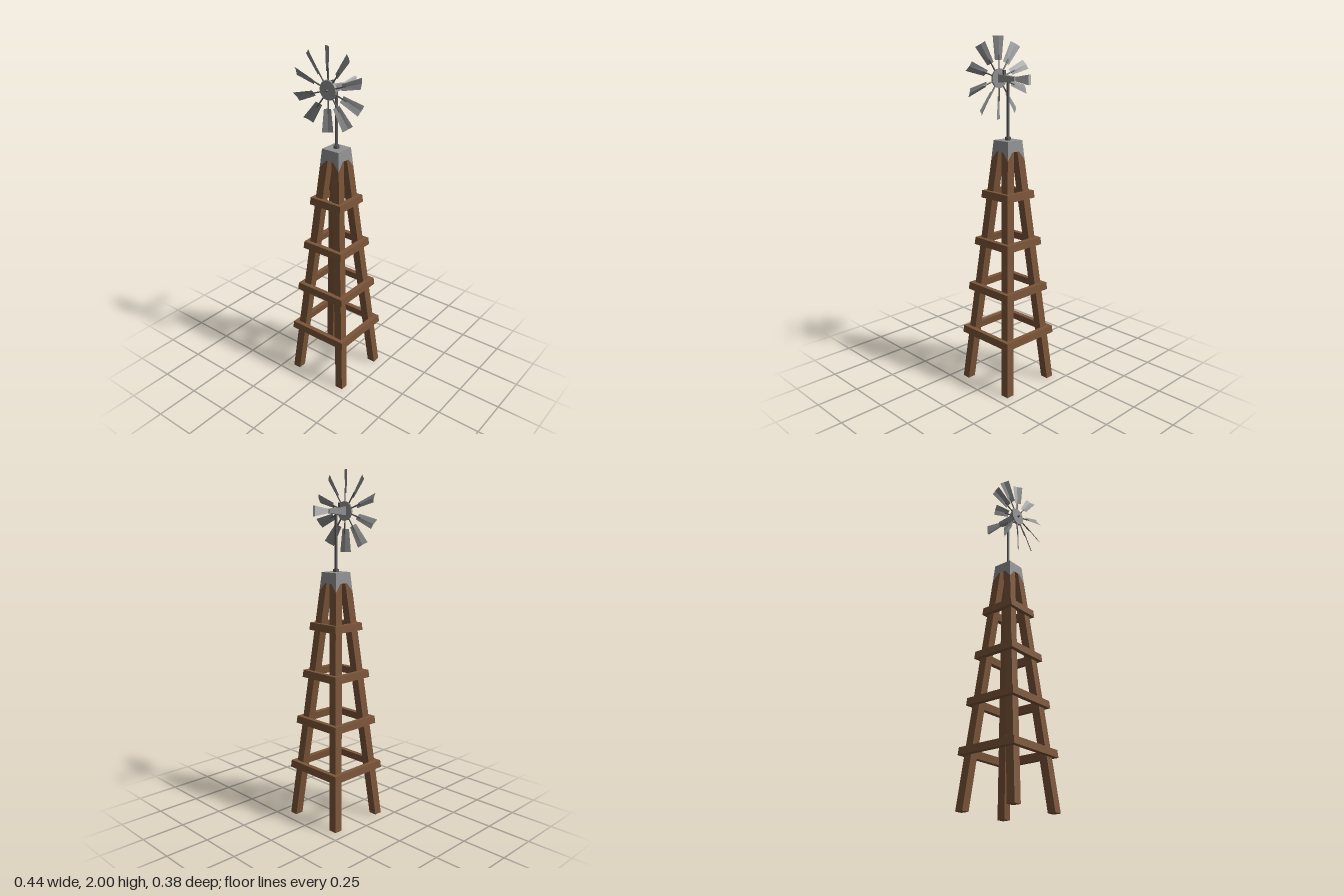
import * as THREE from 'three';

const flat = (name, color, double) => {
  const m = new THREE.MeshStandardMaterial({ color, flatShading: true });
  m.name = name;
  if (double) m.side = THREE.DoubleSide;
  return m;
};

export function createModel() {
  const wood = flat('brown wood', 0x7a5438);
  const steel = flat('grey steel', 0x919191, true);
  const pale = flat('pale steel', 0xbdbdbd);
  const dark = flat('dark steel', 0x5c5c5c);
  const model = new THREE.Group();
  model.name = 'windPump';

  const add = (parent, name, geo, mat, x = 0, y = 0, z = 0) => {
    const mesh = new THREE.Mesh(geo, mat);
    mesh.name = name;
    mesh.position.set(x, y, z);
    parent.add(mesh);
    return mesh;
  };
  // Move every vertex of a geometry by a rule
  const bend = (geo, rule) => {
    const p = geo.attributes.position, v = new THREE.Vector3();
    for (let i = 0; i < p.count; i++) {
      rule(v.fromBufferAttribute(p, i));
      p.setXYZ(i, v.x, v.y, v.z);
    }
    geo.computeVertexNormals();
    return geo;
  };
  const triangles = (points) => {
    const g = new THREE.BufferGeometry();
    g.setAttribute('position', new THREE.Float32BufferAttribute(points.flat(), 3));
    g.computeVertexNormals();
    return g;
  };
  const quad = (a, b, c, d) => [a, b, c, a, c, d];

  // Four legs leaning in towards the cap
  const slope = 0.094;
  for (const sx of [1, -1]) for (const sz of [1, -1]) {
    const leg = new THREE.BoxGeometry(0.048, 1.41, 0.048).translate(0, 0.705, 0);
    add(model, 'leg', bend(leg, v => {
      v.x += sx * (0.167 - slope * v.y);
      v.z += sz * (0.167 - slope * v.y);
    }), wood);
  }

  // Square frames of beams around the legs
  const square = (PathType, r) => {
    const p = new PathType();
    p.moveTo(-r, -r); p.lineTo(r, -r); p.lineTo(r, r); p.lineTo(-r, r); p.closePath();
    return p;
  };
  for (const [y, r] of [[0.31, 0.187], [0.584, 0.161], [0.86, 0.134], [1.136, 0.105]]) {
    const shape = square(THREE.Shape, r);
    shape.holes.push(square(THREE.Path, r - 0.028));
    const frame = new THREE.ExtrudeGeometry(shape, { depth: 0.042, bevelEnabled: false });
    frame.rotateX(-Math.PI / 2).translate(0, -0.021, 0);
    add(model, 'beamFrame', bend(frame, v => {
      v.x -= Math.sign(v.x) * slope * v.y;
      v.z -= Math.sign(v.z) * slope * v.y;
    }), wood, 0, y);
  }

  // Cap: four walls with notched lower edges, and a top plate
  const capAt = y => 0.056 + (1.442 - y) * 0.09;
  const wall = [];
  const lower = [[-1, 1.335], [-0.4, 1.382], [0.4, 1.382], [1, 1.335]];
  for (let i = 0; i < 3; i++) {
    const [[u, a], [w, b]] = [lower[i], lower[i + 1]];
    const at = (s, y) => [s * capAt(y), y, capAt(y)];
    wall.push(...quad(at(u, a), at(w, b), at(w, 1.442), at(u, 1.442)));
  }
  for (let i = 0; i < 4; i++) add(model, 'capWall', triangles(wall), steel).rotation.y = i * Math.PI / 2;
  add(model, 'capTop', new THREE.BoxGeometry(0.112, 0.006, 0.112), steel, 0, 1.439);

  // Pole with collar
  add(model, 'collar', new THREE.CylinderGeometry(0.017, 0.017, 0.018, 8), dark, 0, 1.45);
  add(model, 'pole', new THREE.CylinderGeometry(0.008, 0.008, 0.33, 8), dark, 0, 1.605);

  // Gear housing narrowing to the back, with a small knob on top
  const hubY = 1.775;
  const housing = new THREE.BoxGeometry(0.03, 0.046, 0.124);
  add(model, 'housing', bend(housing, v => { if (v.z < 0) v.y *= 0.5; }), steel, 0, hubY);
  add(model, 'knob', new THREE.BoxGeometry(0.013, 0.03, 0.013), dark, 0, hubY + 0.03, 0.03);

  // Tail vane widening to the back
  const tail = new THREE.BoxGeometry(0.012, 0.022, 0.106);
  add(model, 'tailVane', bend(tail, v => {
    if (v.z < 0) { v.y *= 2.5; v.x *= 1.4; }
  }), pale, 0, hubY, -0.111);

  // Rotor: disc hub, spokes and ten pitched blades
  const rotor = new THREE.Group();
  rotor.name = 'rotor';
  rotor.position.set(0, hubY, 0.076);
  model.add(rotor);
  const disc = new THREE.CylinderGeometry(0.052, 0.054, 0.012, 16).rotateX(Math.PI / 2);
  add(rotor, 'hub', disc, steel, 0, 0, -0.006);
  add(rotor, 'hubNose', new THREE.CylinderGeometry(0.004, 0.007, 0.014, 8).rotateX(Math.PI / 2), dark, 0, 0, 0.006);

  const section = (r, w, d) => [[-w, r, -d], [0, r, -0.005], [w, r, d]];
  const root = section(0.097, 0.016, 0.010), tip = section(0.225, 0.026, 0.016);
  const bladeGeo = triangles([0, 1].flatMap(i => quad(root[i], root[i + 1], tip[i + 1], tip[i])));
  const spokeGeo = new THREE.CylinderGeometry(0.004, 0.004, 0.08, 6).translate(0, 0.085, -0.006);
  for (let i = 0; i < 10; i++) {
    const arm = new THREE.Group();
    arm.name = 'rotorArm';
    arm.rotation.z = i * Math.PI / 5;
    add(arm, 'blade', bladeGeo, steel);
    add(arm, 'spoke', spokeGeo, dark);
    rotor.add(arm);
  }
  return model;
}
